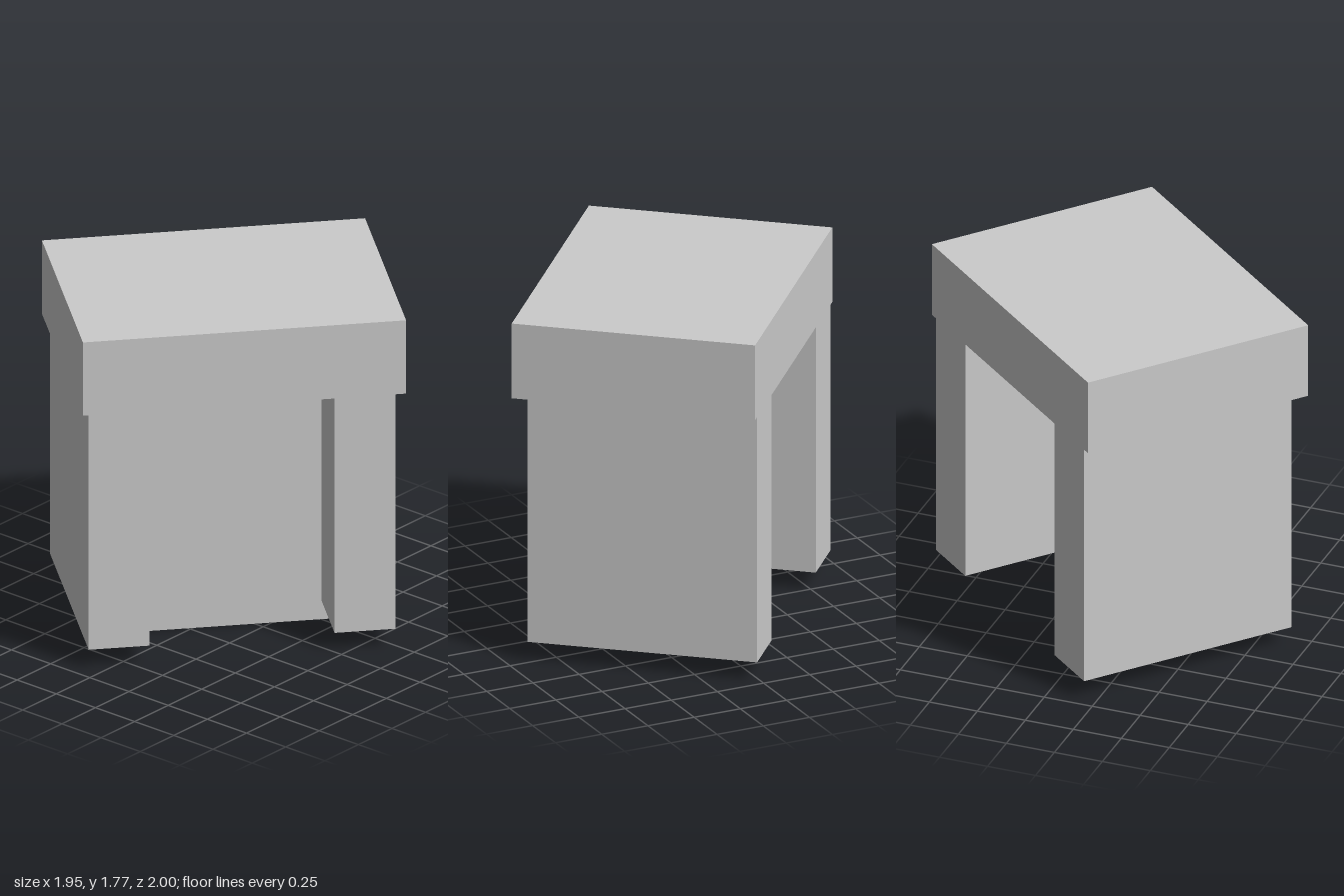
import * as THREE from 'three';

export function createModel() {
  const model = new THREE.Group();
  const body = new THREE.Group();
  body.name = 'table';
  body.rotation.y = THREE.MathUtils.degToRad(50);
  model.add(body);

  const material = new THREE.MeshStandardMaterial({ color: 0xcccccc });

  function addBox(name, size, position) {
    const mesh = new THREE.Mesh(new THREE.BoxGeometry(...size), material);
    mesh.name = name;
    mesh.position.set(...position);
    body.add(mesh);
  }

  const legBottom = 0.1, legTop = 1.38, top = 1.77;
  const depth = 1.214, legDepth = 1.144;

  // Thick top slab
  addBox('topSlab', [1.588, top - legTop, depth], [0, (top + legTop) / 2, 0]);

  // Slab legs, flush with the back edge of the top
  for (const [name, side] of [['leftLeg', 1], ['rightLeg', -1]]) {
    addBox(name, [0.3, legTop - legBottom, legDepth],
      [side * 0.604, (legTop + legBottom) / 2, (legDepth - depth) / 2]);
  }

  // Thin upright panel between the legs, reaching the ground
  const panel = new THREE.Mesh(
    new THREE.PlaneGeometry(1, legTop),
    new THREE.MeshStandardMaterial({ color: 0xcccccc, side: THREE.DoubleSide })
  );
  panel.name = 'panel';
  panel.position.set(0, legTop / 2, 0.15);
  body.add(panel);

  return model;
}
